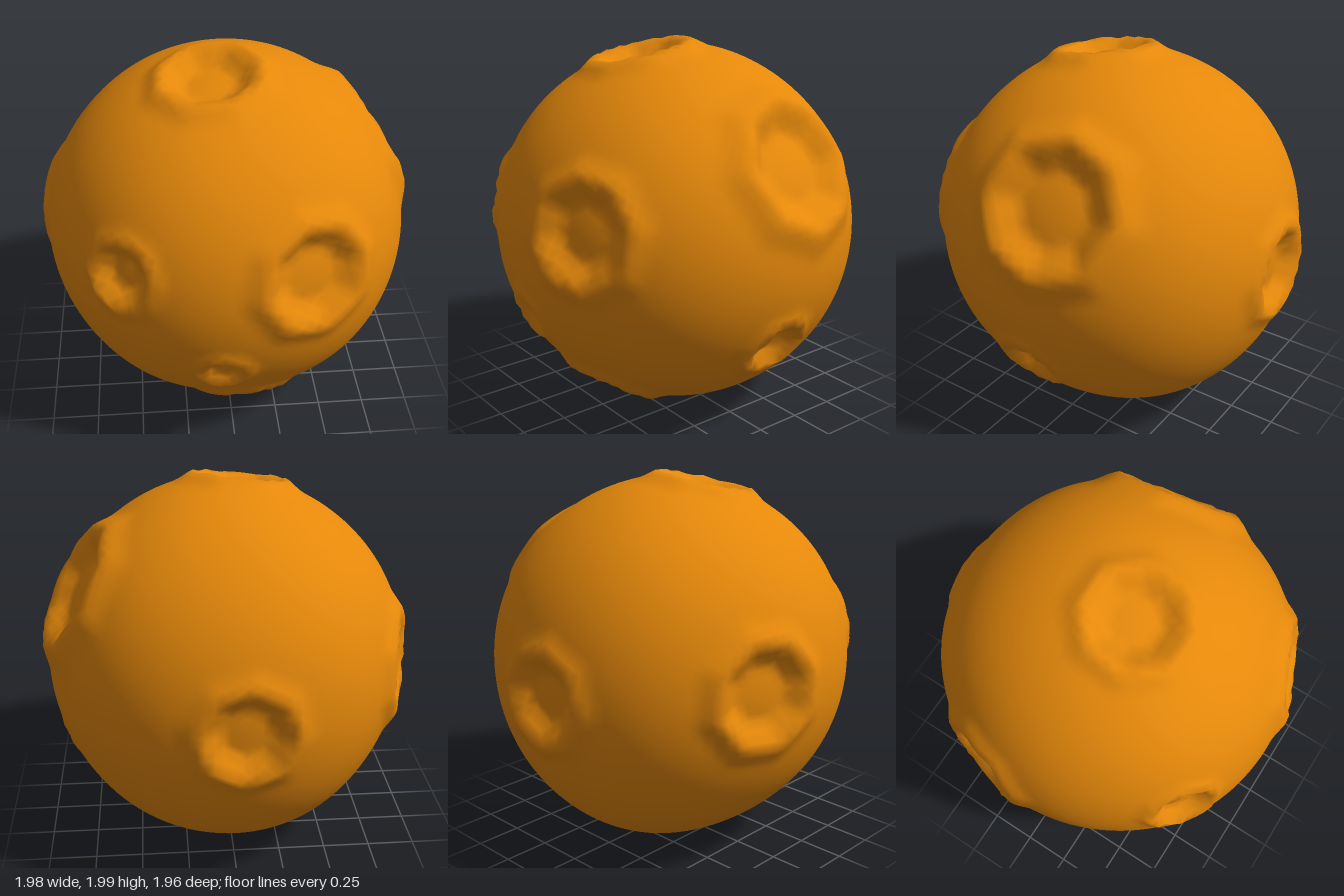
import * as THREE from 'three';
import { mergeVertices } from 'three/addons/utils/BufferGeometryUtils.js';

// Craters: direction from the centre, rim radius, floor depth
const craters = [
  [0.38, 0.18, 0.88, 0.265, 0.07],
  [-0.57, 0.17, 0.76, 0.17, 0.06],
  [-0.08, -0.37, 0.88, 0.12, 0.025],
  [0.07, -0.82, 0.5, 0.22, 0.08],
  [0.8, 0.45, -0.14, 0.335, 0.075],
  [0.84, -0.48, 0.0, 0.16, 0.06],
  [-0.09, 0.92, 0.16, 0.25, 0.075],
  [-0.9, 0.03, -0.28, 0.26, 0.07],
  [-0.04, -0.03, -0.94, 0.23, 0.07],
].map(([x, y, z, radius, depth]) => {
  const dir = new THREE.Vector3(x, y, z).normalize();
  const side = new THREE.Vector3(0.3, 1, 0.2).cross(dir).normalize();
  return { dir, side, up: dir.clone().cross(side), radius, depth };
});

// Stretch of the distance that turns a circular rim into a soft octagon
function octagon(angle) {
  const step = Math.PI / 4;
  const a = angle - step * Math.round(angle / step);
  return Math.cos(a) / 0.97;
}

// Height over the ground at u = distance / rim radius: floor, wall, rim, outer slope
function craterHeight(u, radius, depth) {
  const rim = 0.015 + 0.08 * radius;
  if (u < 1) return -depth + (depth + rim) * THREE.MathUtils.smoothstep(u, 0.58, 1.02);
  return rim * (1 - THREE.MathUtils.smoothstep(u, 0.95, 1.5));
}

// Slightly uneven ground, fuller low at the back
function groundRadius(d) {
  return 0.963 + 0.006 * Math.sin(5 * d.x + 1) * Math.cos(4 * d.z)
    + 0.045 * Math.max(0, -0.8 * d.y - 0.6 * d.z) ** 4;
}

function cratered(detail) {
  let geometry = new THREE.IcosahedronGeometry(1, detail);
  geometry.deleteAttribute('uv');
  geometry.deleteAttribute('normal');
  geometry = mergeVertices(geometry, 1e-4);
  const pos = geometry.attributes.position;
  const d = new THREE.Vector3();
  for (let i = 0; i < pos.count; i++) {
    d.fromBufferAttribute(pos, i).normalize();
    let r = groundRadius(d);
    for (const { dir, side, up, radius, depth } of craters) {
      const u = d.angleTo(dir) * 0.97 / radius * octagon(Math.atan2(d.dot(up), d.dot(side)));
      r += craterHeight(u, radius, depth);
    }
    d.multiplyScalar(r);
    pos.setXYZ(i, d.x, d.y, d.z);
  }
  // Stand on y = 0, centred
  geometry.computeBoundingBox();
  const box = geometry.boundingBox;
  const centre = box.getCenter(new THREE.Vector3());
  geometry.translate(-centre.x, -box.min.y, -centre.z);
  geometry.computeVertexNormals();
  return geometry;
}

export function createModel() {
  const group = new THREE.Group();
  group.name = 'crateredMoon';
  const body = new THREE.Mesh(
    cratered(24),
    new THREE.MeshStandardMaterial({ color: 0xe5880a }),
  );
  body.name = 'crateredSurface';
  group.add(body);
  return group;
}
